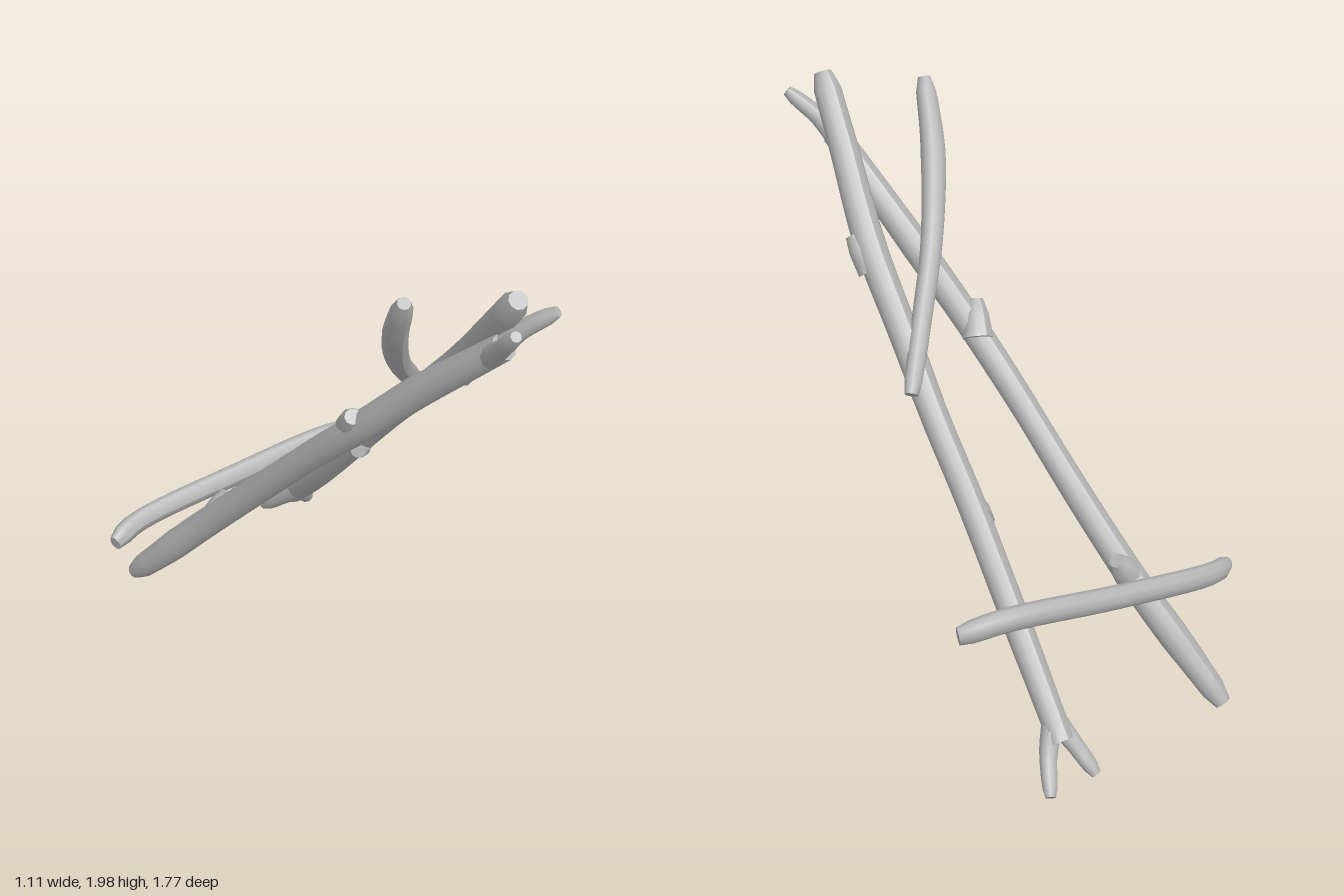
import * as THREE from 'three';

const V = (p) => new THREE.Vector3(...p);

// Piecewise-linear radius along the limb; stops are [t, radius]
function radiusAt(stops, t) {
  for (let i = 1; i < stops.length; i++) {
    const [t0, r0] = stops[i - 1], [t1, r1] = stops[i];
    if (t <= t1) return r0 + (r1 - r0) * (t - t0) / (t1 - t0);
  }
  return stops[stops.length - 1][1];
}

// Bends a capped cylinder along a smooth path, with a varying radius
function limb(points, stops, rows, squash = [1, 1, 1], sides = 10) {
  const curve = new THREE.CatmullRomCurve3(points.map(V));
  const frames = curve.computeFrenetFrames(rows);
  const geo = new THREE.CylinderGeometry(1, 1, 1, sides, rows);
  const pos = geo.attributes.position;
  const scale = V(squash);
  for (let i = 0; i < pos.count; i++) {
    const t = pos.getY(i) + 0.5;
    const k = Math.round(t * rows);
    const r = radiusAt(stops, t);
    const offset = new THREE.Vector3()
      .addScaledVector(frames.normals[k], pos.getX(i) * r)
      .addScaledVector(frames.binormals[k], -pos.getZ(i) * r)
      .multiply(scale);
    const p = curve.getPointAt(t).add(offset);
    pos.setXYZ(i, p.x, p.y, p.z);
  }
  geo.computeVertexNormals();
  return geo;
}

export function createModel() {
  const group = new THREE.Group();
  const bark = new THREE.MeshStandardMaterial({ color: 0xb4b4b4 });
  bark.name = 'greyBark';
  const add = (name, ...args) => {
    const mesh = new THREE.Mesh(limb(...args), bark);
    mesh.name = name;
    group.add(mesh);
  };

  // Two long leaning poles
  add('rightPole', [
    [-0.335, 0.02, -0.865], [-0.3, 0.14, -0.76], [-0.22, 0.4, -0.54], [-0.165, 0.67, -0.3],
    [-0.115, 1.0, 0], [-0.075, 1.22, 0.21], [-0.02, 1.43, 0.4], [0.03, 1.64, 0.61], [0.06, 1.76, 0.73],
  ], [[0, 0.03], [0.025, 0.045], [0.12, 0.056], [0.5, 0.05], [0.8, 0.055], [1, 0.046]], 40);
  add('leftPole', [
    [0.335, 0.15, -0.76], [0.305, 0.32, -0.6], [0.275, 0.55, -0.4], [0.25, 0.79, -0.2],
    [0.235, 1.03, 0], [0.2, 1.25, 0.2], [0.165, 1.5, 0.42], [0.1, 1.76, 0.63], [0.055, 1.965, 0.79],
  ], [[0, 0.045], [0.15, 0.05], [0.5, 0.05], [0.75, 0.056], [0.975, 0.048], [1, 0.032]], 40);

  // Forked ends of the poles
  const prong = [[0, 0.04], [0.5, 0.031], [0.85, 0.028], [1, 0.018]];
  add('topProngRight', [[0.045, 1.7, 0.68], [0.005, 1.8, 0.78], [-0.02, 1.905, 0.87]], prong, 8);
  add('topProngLeft', [[0.05, 1.71, 0.69], [0.1, 1.82, 0.76], [0.165, 1.91, 0.85]], prong, 8);
  add('bottomProngRight', [[0.32, 0.21, -0.7], [0.295, 0.13, -0.78], [0.275, 0.045, -0.87]], prong, 8);
  add('bottomProngLeft', [[0.33, 0.2, -0.71], [0.385, 0.12, -0.75], [0.455, 0.025, -0.84]], prong, 8);

  // Stubs of cut branches
  const stub = [[0, 0.055], [0.6, 0.045], [1, 0.028]];
  const stubs = [
    [[-0.07, 1.16, 0.13], [-0.118, 1.265, 0.2]],
    [[-0.21, 0.43, -0.51], [-0.148, 0.525, -0.505]],
    [[0.185, 1.42, 0.38], [0.2, 1.525, 0.465]],
    [[0.25, 0.74, -0.24], [0.2, 0.755, -0.175]],
  ];
  stubs.forEach((path, i) => add('branchStub' + (i + 1), path, stub, 5));

  // Low cross stick behind the poles
  add('lowerCrossStick', [
    [-0.545, 0.395, -0.65], [-0.44, 0.42, -0.675], [-0.05, 0.485, -0.62],
    [0.38, 0.55, -0.53], [0.54, 0.53, -0.47],
  ], [[0, 0.03], [0.045, 0.045], [0.5, 0.046], [0.95, 0.046], [1, 0.034]], 24, [1, 1, 0.75]);

  // High slanting stick resting on the poles
  add('upperCrossStick', [
    [-0.21, 1.945, 0.57], [-0.145, 1.74, 0.45], [-0.01, 1.5, 0.3], [0.14, 1.31, 0.175], [0.295, 1.12, 0.05],
  ], [[0, 0.022], [0.05, 0.037], [0.25, 0.045], [0.6, 0.037], [0.95, 0.033], [1, 0.024]], 22);

  return group;
}
